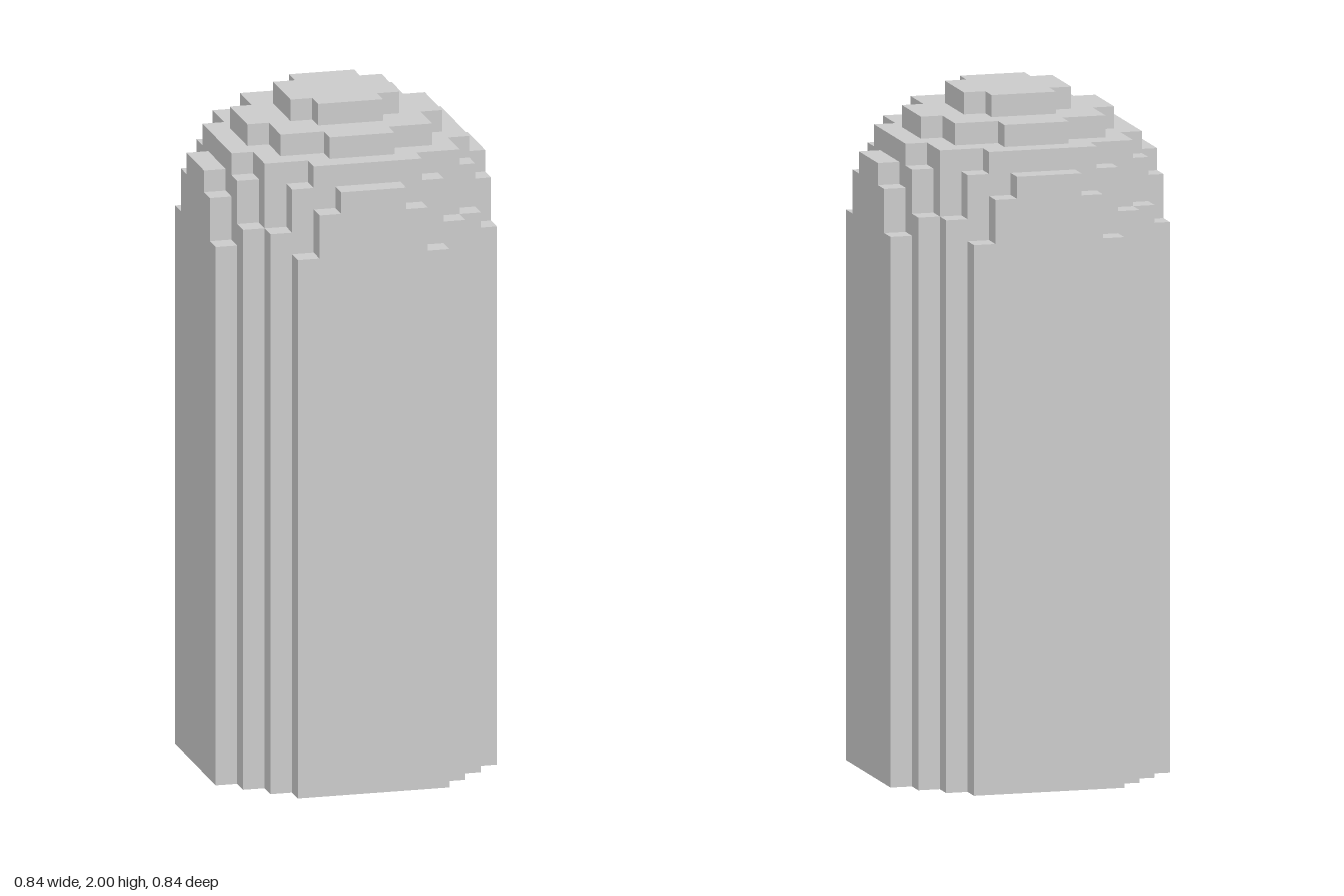
import * as THREE from 'three';

const U = 2 / 31; // edge length of one block

// Layers from the ground up. Each run is [half width, depth it reaches to], in blocks,
// for one quadrant of the stepped outline.
const LAYERS = [
  { name: 'shaft', height: 25, runs: [[6.5, 3.5], [5.5, 4.5], [4.5, 5.5], [3.5, 6.5]] },
  { name: 'shoulderLower', height: 1, runs: [[6.5, 2.5], [5.5, 4.5], [4.5, 5.5], [2.5, 6.5]] },
  { name: 'shoulderMiddle', height: 1, runs: [[6.5, 2.5], [5.5, 3.5], [4.5, 4.5], [3.5, 5.5], [2.5, 6.5]] },
  { name: 'shoulderUpper', height: 1, runs: [[6.5, 1.5], [5.5, 3.5], [4.5, 4.5], [3.5, 5.5], [1.5, 6.5]] },
  { name: 'domeLower', height: 1, runs: [[5.5, 2.5], [4.5, 4.5], [2.5, 5.5]] },
  { name: 'domeUpper', height: 1, runs: [[4.5, 1.5], [3.5, 3.5], [1.5, 4.5]] },
  { name: 'domeCap', height: 1, runs: [[2.5, 1.5], [1.5, 2.5]] },
];

// Stepped round outline: one quadrant turned four times
function steppedShape(runs) {
  const quadrant = [];
  runs.forEach(([w, d], i) => {
    quadrant.push([w, d]);
    if (i < runs.length - 1) quadrant.push([runs[i + 1][0], d]);
  });
  const turns = [(x, y) => [x, y], (x, y) => [-y, x], (x, y) => [-x, -y], (x, y) => [y, -x]];
  const points = turns.flatMap((turn) =>
    quadrant.map(([x, y]) => {
      const [a, b] = turn(x, y);
      return new THREE.Vector2(a * U, b * U);
    }));
  return new THREE.Shape(points);
}

export function createModel() {
  const group = new THREE.Group();
  group.name = 'domedBlockColumn';
  const material = new THREE.MeshStandardMaterial({ color: 0xcccccc, flatShading: true });

  // Stack the layers
  let y = 0;
  for (const { name, height, runs } of LAYERS) {
    const geometry = new THREE.ExtrudeGeometry(steppedShape(runs), { depth: height * U, bevelEnabled: false });
    geometry.rotateX(-Math.PI / 2);
    const mesh = new THREE.Mesh(geometry, material);
    mesh.name = name;
    mesh.position.y = y;
    group.add(mesh);
    y += height * U;
  }
  return group;
}
